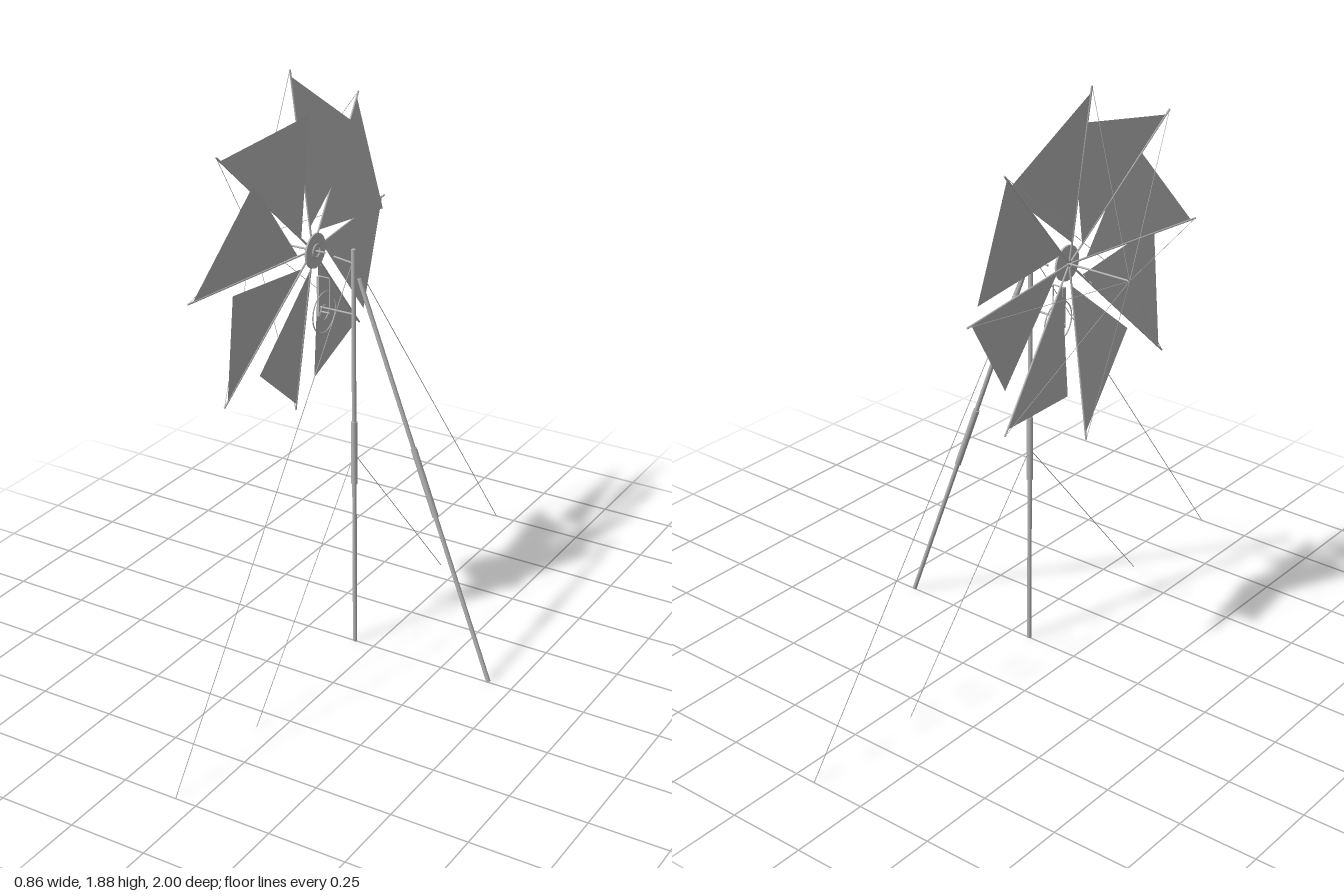
import * as THREE from 'three';

export function createModel() {
  const model = new THREE.Group();
  model.name = 'sailWindmill';
  const grey = new THREE.MeshStandardMaterial({ color: 0xb4b4b4 });
  grey.name = 'grey';
  grey.side = THREE.DoubleSide;
  const V = (x, y, z) => new THREE.Vector3(x, y, z);

  const add = (name, geometry, parent = model) => {
    const mesh = new THREE.Mesh(geometry, grey);
    mesh.name = name;
    parent.add(mesh);
    return mesh;
  };
  // Round bar between two points
  const bar = (name, a, b, r, parent = model, sides = 12) => {
    const mesh = add(name, new THREE.CylinderGeometry(r, r, a.distanceTo(b), sides), parent);
    mesh.position.copy(a).add(b).multiplyScalar(0.5);
    mesh.quaternion.setFromUnitVectors(V(0, 1, 0), b.clone().sub(a).normalize());
    return mesh;
  };
  // Ring whose axis runs along x
  const ring = (name, x, y, r, tube, parent = model) => {
    const mesh = add(name, new THREE.TorusGeometry(r, tube, 6, 32), parent);
    mesh.rotation.y = Math.PI / 2;
    mesh.position.set(x, y, 0);
    return mesh;
  };

  // Mast, rear strut and their joining sleeves
  const mastX = -0.07;
  bar('mast', V(mastX, 0, 0), V(mastX, 1.36, 0), 0.007);
  bar('mastSleeve', V(mastX, 0.575, 0), V(mastX, 0.79, 0), 0.01);
  const strutTop = V(-0.05, 1.27, 0), strutFoot = V(0.42, 0.003, 0);
  bar('strut', strutTop, strutFoot, 0.007);
  bar('strutSleeve', strutTop.clone().lerp(strutFoot, 0.41), strutTop.clone().lerp(strutFoot, 0.58), 0.01);

  // Guy wires on both sides
  for (const s of [1, -1]) {
    bar('upperGuyWire', V(mastX, 1.33, 0), V(mastX, 0, s), 0.0012, model, 5);
    bar('lowerGuyWire', V(mastX, 0.68, 0), V(mastX, 0, s * 0.58), 0.0012, model, 5);
  }

  // Rotor: eight coned spars, each with a triangular sail
  const rotor = new THREE.Group();
  rotor.name = 'rotor';
  rotor.position.y = 1.33;
  model.add(rotor);
  const bowsprit = V(-0.43, 0, 0);
  const polar = (x, r, a) => V(x, r * Math.cos(a), -r * Math.sin(a));
  for (let i = 0; i < 8; i++) {
    const a = (i * Math.PI) / 4;
    const tip = polar(-0.285, 0.55, a);
    bar('spar', polar(-0.215, 0.01, a), tip, 0.003, rotor, 8);
    bar('foreStay', bowsprit, tip, 0.0008, rotor, 5);
    const sail = new THREE.BufferGeometry().setFromPoints([
      polar(-0.224, 0.07, a + 0.05),
      polar(-0.282, 0.53, a),
      polar(-0.217, 0.425, a + Math.PI / 4 - 0.01),
    ]);
    sail.computeVertexNormals();
    add('sail', sail, rotor);
  }
  bar('shaft', bowsprit, V(-0.17, 0, 0), 0.003, rotor);
  bar('hubDisc', V(-0.208, 0, 0), V(-0.202, 0, 0), 0.055, rotor, 32);
  ring('hubCollar', -0.2, 0, 0.02, 0.003, rotor);

  // Bearing arms reaching from the mast
  bar('upperArm', V(-0.15, 1.315, -0.02), V(mastX, 1.315, 0), 0.003);
  bar('lowerArm', V(-0.19, 1.15, 0), V(mastX, 1.15, 0), 0.003);

  // Drive pulley and its bracket
  ring('pulleyRim', -0.175, 1.135, 0.066, 0.002);
  ring('pulleyHub', -0.175, 1.135, 0.024, 0.002);
  bar('pulleyAxle', V(-0.2, 1.135, 0), V(-0.155, 1.135, 0), 0.003);
  bar('bracketTop', V(-0.195, 1.25, 0), V(-0.155, 1.25, 0), 0.002);
  bar('bracketRear', V(-0.155, 1.15, 0), V(-0.155, 1.25, 0), 0.002);
  add('bracketPlate', new THREE.BoxGeometry(0.008, 0.13, 0.014)).position.set(-0.193, 1.185, 0);

  return model;
}
